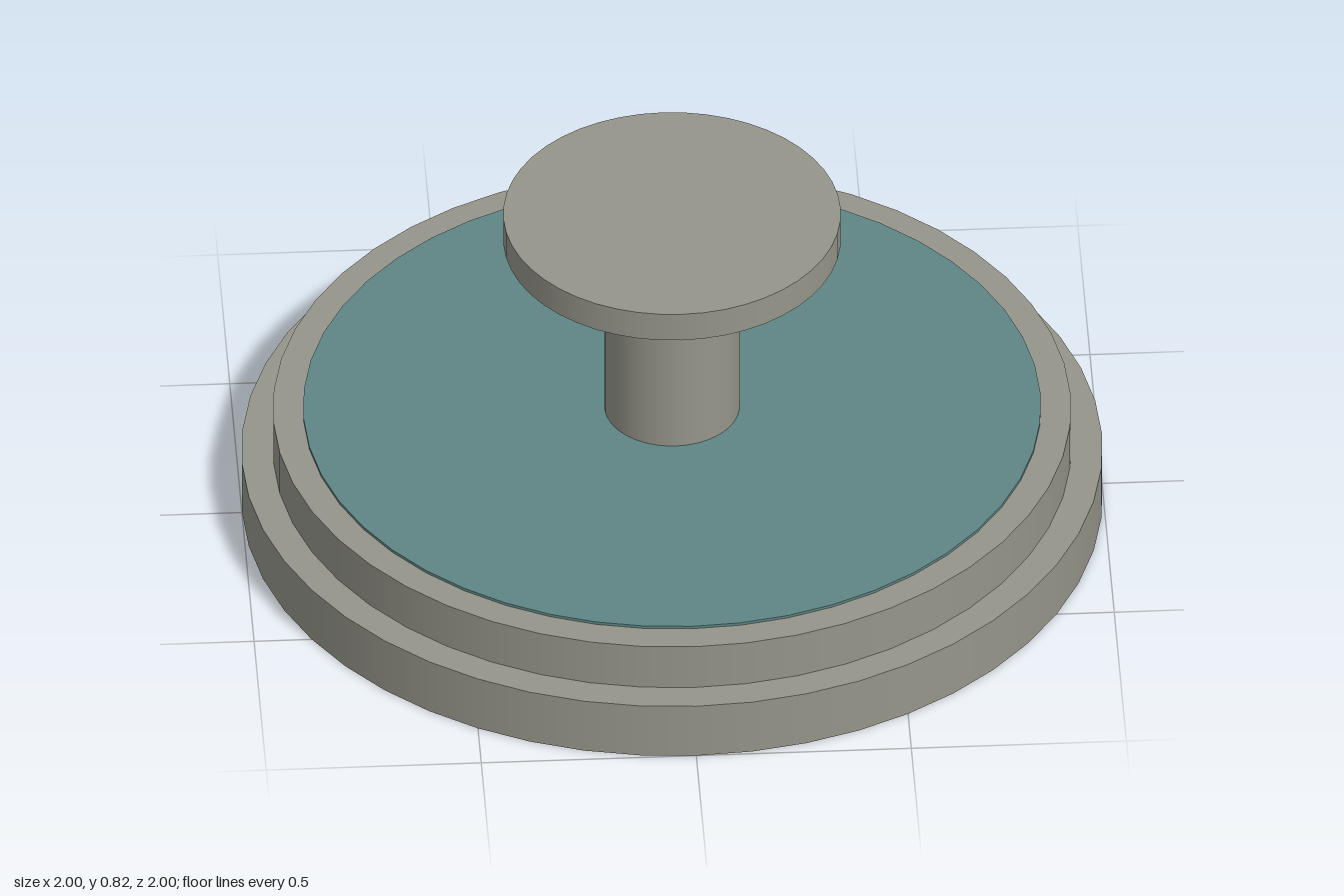
import * as THREE from 'three';

export function createModel() {
  const group = new THREE.Group();
  const stone = new THREE.MeshStandardMaterial({ name: 'stone', color: 0x95958a });
  const water = new THREE.MeshStandardMaterial({ name: 'water', color: 0x5f8585 });

  // Upright disc or column spanning bottom..top
  function disc(name, radius, bottom, top, material) {
    const geometry = new THREE.CylinderGeometry(radius, radius, top - bottom, 48);
    const mesh = new THREE.Mesh(geometry, material);
    mesh.name = name;
    mesh.position.y = (bottom + top) / 2;
    group.add(mesh);
  }

  // Stepped basin
  disc('lowerStep', 1, 0, 0.143, stone);
  disc('basinRim', 0.927, 0.143, 0.261, stone);

  // Thin sheet of water on the basin
  disc('waterSurface', 0.857, 0.261, 0.268, water);

  // Central pedestal and its top bowl
  disc('pedestal', 0.157, 0.268, 0.75, stone);
  disc('topBowl', 0.392, 0.75, 0.825, stone);

  return group;
}
